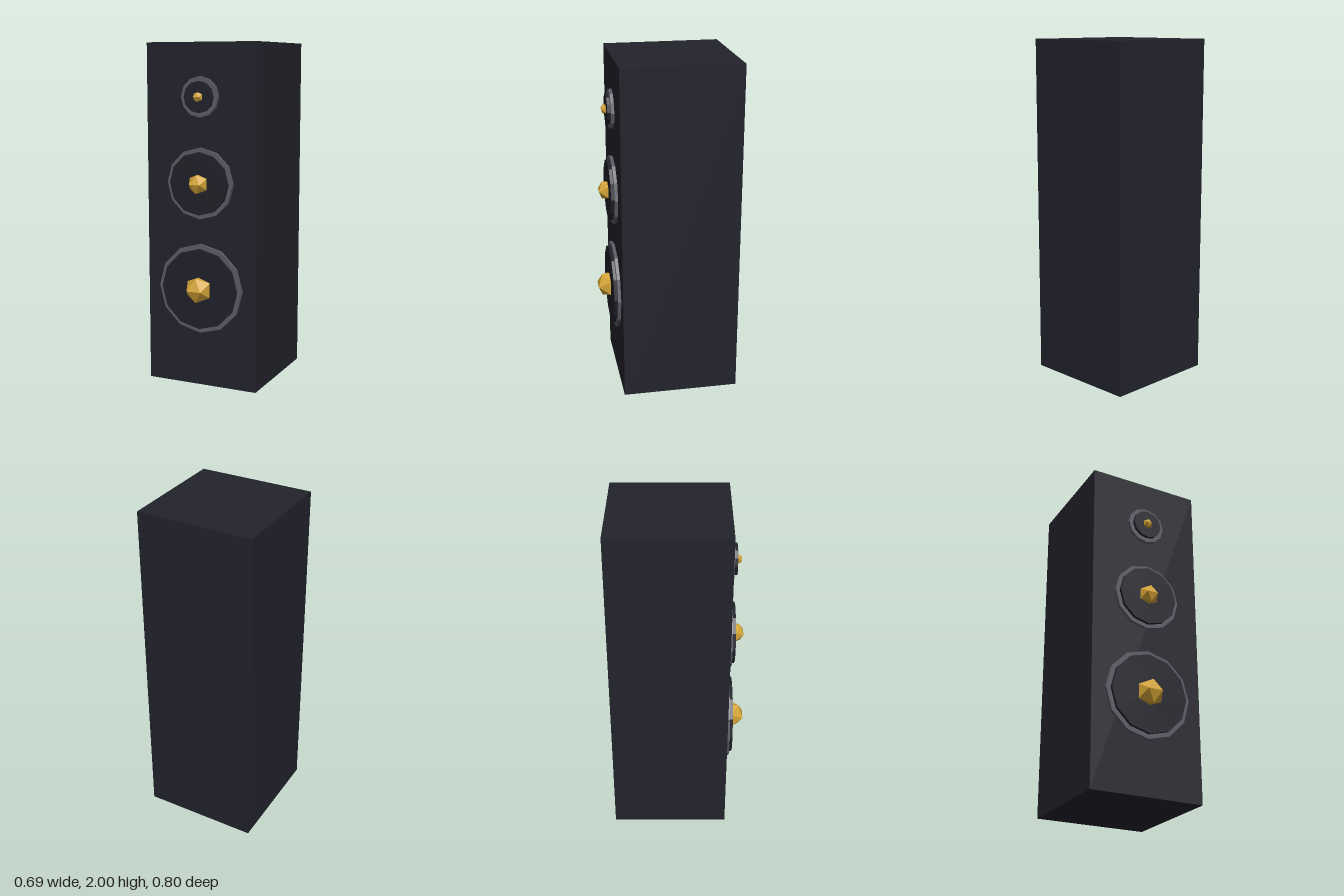
import * as THREE from 'three';

const mat = (name, color) => {
  const m = new THREE.MeshStandardMaterial({ color, flatShading: true });
  m.name = name;
  return m;
};

export function createModel() {
  const model = new THREE.Group();
  model.name = 'floorSpeaker';
  const cabinetMat = mat('charcoal', 0x22222c);
  const coneMat = mat('dark cone', 0x20202a);
  const rimMat = mat('grey rim', 0x5a5a66);
  const goldMat = mat('gold', 0xd4a437);

  const add = (parent, name, geometry, material, z) => {
    const mesh = new THREE.Mesh(geometry, material);
    mesh.name = name;
    mesh.position.z = z;
    parent.add(mesh);
  };

  // Cabinet
  const FRONT = 0.29, BACK = -0.4;
  const box = new THREE.BoxGeometry(0.69, 2, FRONT - BACK).translate(0, 1, 0);
  add(model, 'cabinet', box, cabinetMat, (FRONT + BACK) / 2);

  // Twelve-sided plate facing the front, from the cabinet out to a depth
  const plate = (r, depth) =>
    new THREE.CylinderGeometry(r, r, depth, 12).rotateX(Math.PI / 2).translate(0, 0, depth / 2);

  // Drivers: rim, raised cone disc and faceted gold cap
  const drivers = [
    { name: 'tweeter', y: 1.694, rim: 0.116, cone: 0.09, cap: 0.031 },
    { name: 'midrange', y: 1.202, rim: 0.206, cone: 0.182, cap: 0.0625 },
    { name: 'woofer', y: 0.586, rim: 0.264, cone: 0.237, cap: 0.083 },
  ];
  for (const d of drivers) {
    const driver = new THREE.Group();
    driver.name = d.name;
    driver.position.set(0, d.y, FRONT);
    add(driver, 'rim', plate(d.rim, 0.019), rimMat, 0);
    add(driver, 'cone', plate(d.cone, 0.037), coneMat, 0);
    add(driver, 'cap', new THREE.IcosahedronGeometry(d.cap, 0).rotateX(Math.PI / 2), goldMat, 0.037);
    model.add(driver);
  }
  return model;
}
